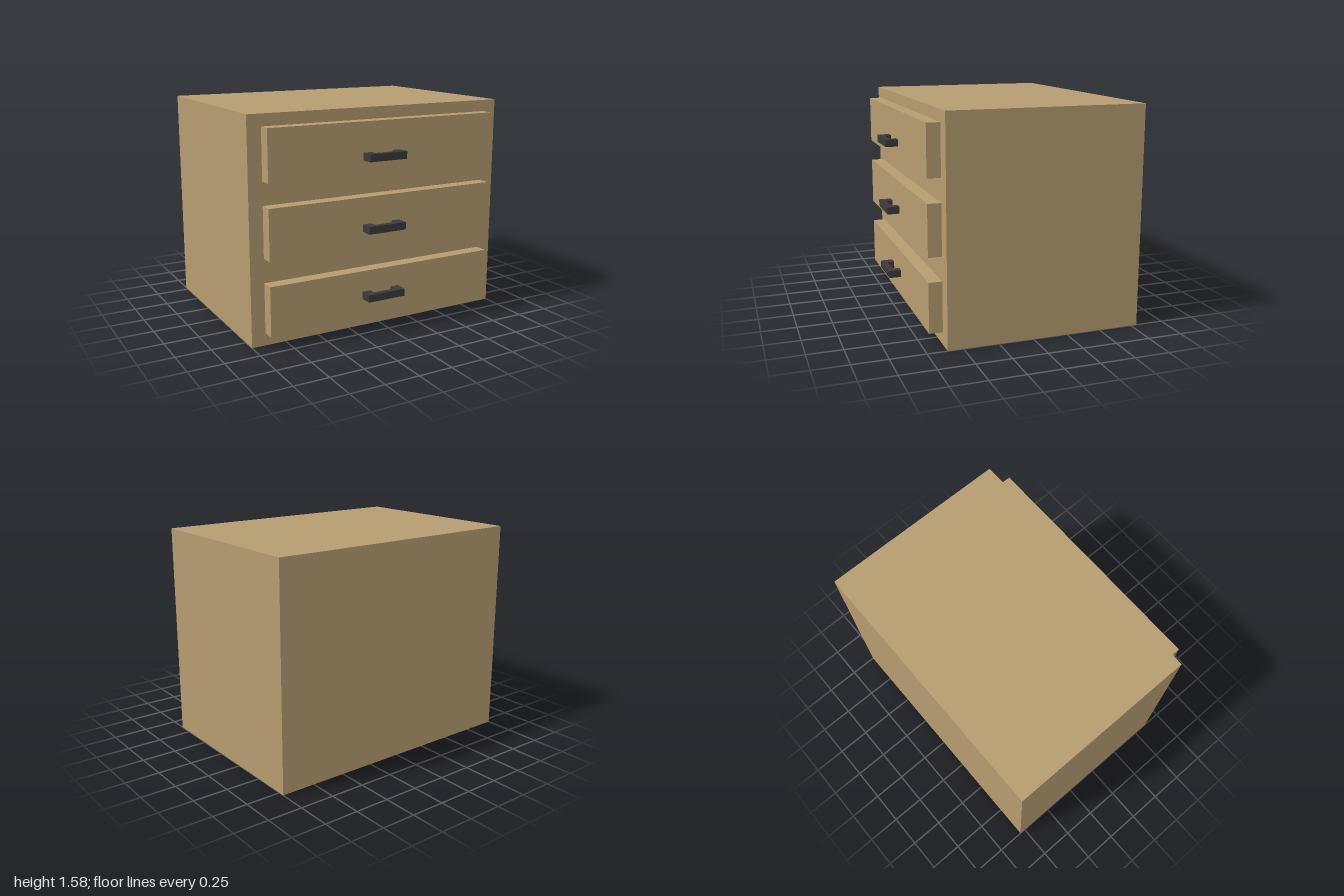
import * as THREE from 'three';

const wood = new THREE.MeshStandardMaterial({ color: 0xb69d70 });
const dark = new THREE.MeshStandardMaterial({ color: 0x3a3a3a });

// Box given by its minimum and maximum corners
function box(name, material, [x0, y0, z0], [x1, y1, z1]) {
  const mesh = new THREE.Mesh(new THREE.BoxGeometry(x1 - x0, y1 - y0, z1 - z0), material);
  mesh.position.set((x0 + x1) / 2, (y0 + y1) / 2, (z0 + z1) / 2);
  mesh.name = name;
  return mesh;
}

// U-shaped pull, drawn in plan (x, z) and extruded upwards
function handleGeometry(height) {
  const plan = [
    [-0.195, 0.705], [-0.195, 0.795], [0.1, 0.795], [0.1, 0.705],
    [0.04, 0.705], [0.04, 0.755], [-0.13, 0.755], [-0.13, 0.705],
  ];
  const shape = new THREE.Shape(plan.map(([x, z]) => new THREE.Vector2(x, -z)));
  return new THREE.ExtrudeGeometry(shape, { depth: height, bevelEnabled: false }).rotateX(-Math.PI / 2);
}

export function createModel() {
  const model = new THREE.Group();
  model.name = 'chestOfDrawers';

  // Cabinet
  model.add(box('cabinet', wood, [-1, 0, -0.795], [1, 1.58, 0.61]));

  // Drawers: bottom, top and handle base heights
  const pull = handleGeometry(0.053);
  const rows = [
    ['bottomDrawer', 0.09, 0.445, 0.241],
    ['middleDrawer', 0.615, 0.975, 0.731],
    ['topDrawer', 1.14, 1.497, 1.232],
  ];
  for (const [name, y0, y1, handleY] of rows) {
    const drawer = new THREE.Group();
    drawer.name = name;
    drawer.add(box('drawerFront', wood, [-0.9, y0, 0.61], [0.89, y1, 0.705]));
    const handle = new THREE.Mesh(pull, dark);
    handle.name = 'handle';
    handle.position.y = handleY;
    drawer.add(handle);
    model.add(drawer);
  }
  return model;
}
